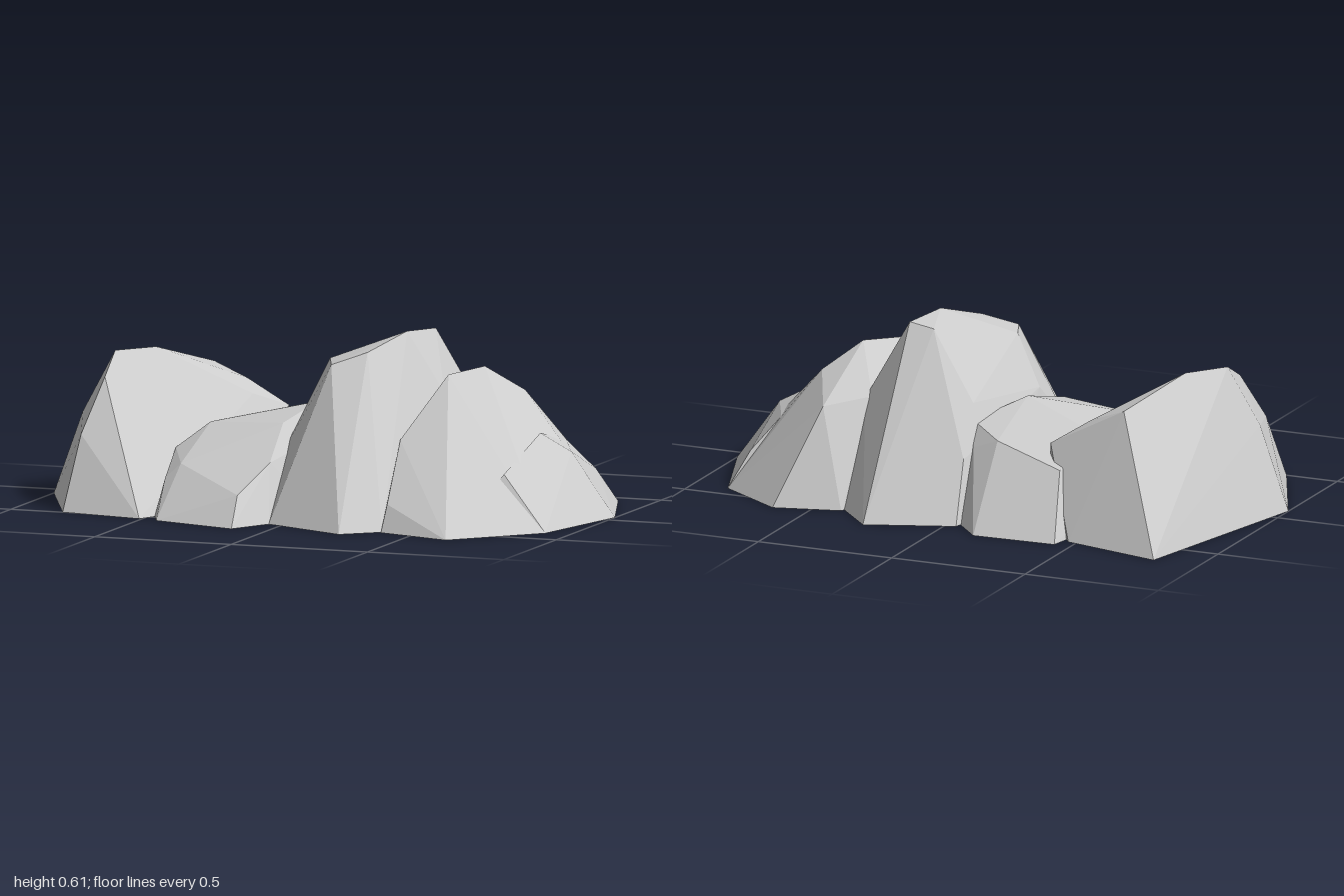
import * as THREE from 'three';
import { ConvexGeometry } from 'three/addons/geometries/ConvexGeometry.js';

// Each boulder: ground outline as [x, z], and raised corners as [x, y, z].
// Neighbours overlap so the formation has no gaps.
const boulders = {
  leftBoulder: {
    base: [[-1, 0.09], [-0.81, 0.5], [-0.51, 0.55], [-0.35, 0.2], [-0.3, -0.35], [-0.47, -0.57], [-0.83, -0.66]],
    corners: [
      [-0.89, 0.29, 0.1], [-0.8, 0.25, 0.35], [-0.77, 0.43, 0.2], [-0.79, 0.5, 0.05],
      [-0.69, 0.5, -0.08], [-0.58, 0.42, -0.35], [-0.45, 0.37, -0.33], [-0.4, 0.33, -0.25],
      [-0.31, 0.28, -0.36],
    ],
  },
  lowBoulder: {
    base: [[-0.55, 0], [-0.48, 0.48], [-0.44, 0.57], [-0.13, 0.66], [-0.05, 0.51], [0.04, 0.2],
      [0.05, -0.3], [-0.05, -0.53], [-0.14, -0.63], [-0.44, -0.62]],
    corners: [
      [-0.51, 0.2, 0.2], [-0.48, 0.12, 0.38], [-0.42, 0.28, 0.1], [-0.43, 0.17, 0.36],
      [-0.15, 0.1, 0.55], [-0.1, 0.19, 0.37], [-0.14, 0.295, 0.14], [-0.35, 0.28, -0.15],
      [-0.09, 0.345, -0.06], [0.02, 0.3, -0.27], [-0.02, 0.23, -0.36], [-0.12, 0.27, -0.38],
      [-0.38, 0.21, -0.44],
    ],
  },
  tallBoulder: {
    base: [[-0.18, 0.1], [-0.05, 0.51], [0.26, 0.65], [0.38, 0.55], [0.5, 0.1], [0.5, -0.25],
      [0.4, -0.51], [0.26, -0.66], [-0.04, -0.55], [-0.1, -0.3]],
    corners: [
      [-0.13, 0.18, 0.2], [-0.09, 0.35, 0.04], [0.01, 0.52, 0.08], [0.06, 0.515, 0.2],
      [0.17, 0.555, 0.14], [0.25, 0.61, -0.03], [0.2, 0.585, -0.2], [0.29, 0.6, -0.2],
      [0.02, 0.36, -0.27], [-0.01, 0.2, -0.42], [0.33, 0.28, 0.2], [0.38, 0.4, -0.05],
      [0.43, 0.33, -0.26],
    ],
  },
  rightBoulder: {
    base: [[0.3, 0.3], [0.38, 0.56], [0.65, 0.645], [0.91, 0.37], [1, -0.06], [0.87, -0.43],
      [0.63, -0.59], [0.4, -0.53], [0.3, -0.3]],
    corners: [
      [0.38, 0.09, 0.5], [0.34, 0.28, 0.27], [0.42, 0.475, 0.02], [0.5, 0.49, -0.12],
      [0.61, 0.4, -0.22], [0.4, 0.34, -0.27], [0.53, 0.32, -0.39], [0.74, 0.23, -0.27],
    ],
  },
  rightShoulder: {
    base: [[0.6, 0.4], [0.91, 0.37], [1, -0.06], [0.87, -0.43], [0.6, -0.3]],
    corners: [
      [0.73, 0.28, -0.05], [0.84, 0.22, -0.06], [0.72, 0.18, 0.27], [0.82, 0.12, -0.35],
      [0.74, 0.23, -0.27],
    ],
  },
};

export function createModel() {
  const group = new THREE.Group();
  group.name = 'rockFormation';
  const stone = new THREE.MeshStandardMaterial({ color: 0xcccccc, flatShading: true });

  // Faceted stones, closed underneath and merging into one another
  for (const [name, { base, corners }] of Object.entries(boulders)) {
    const points = [
      ...base.map(([x, z]) => new THREE.Vector3(x, 0, z)),
      ...corners.map((p) => new THREE.Vector3(...p)),
    ];
    const mesh = new THREE.Mesh(new ConvexGeometry(points), stone);
    mesh.name = name;
    group.add(mesh);
  }
  return group;
}
